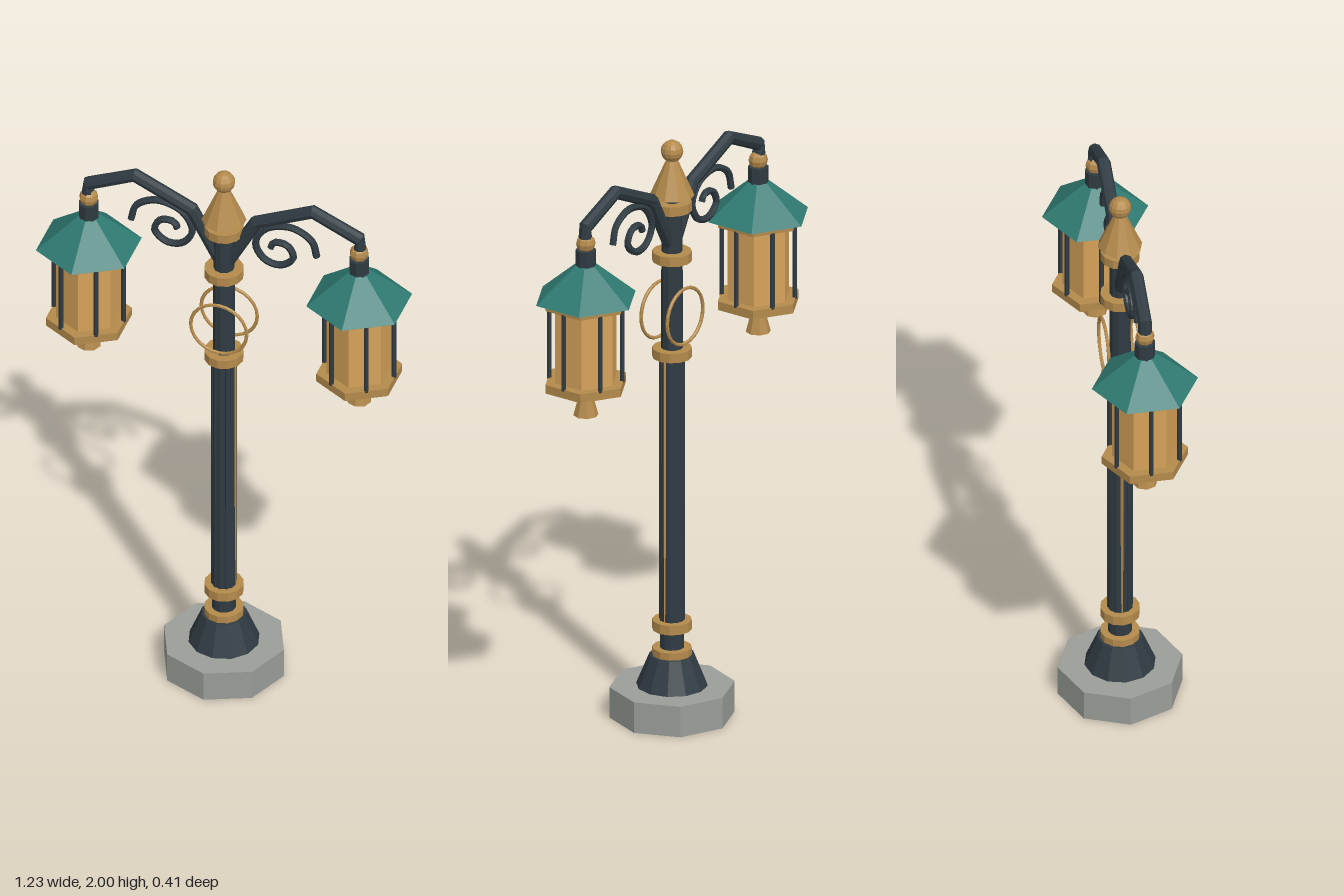
import * as THREE from 'three';

const material = (color) => new THREE.MeshStandardMaterial({ color, flatShading: true });
const iron = material(0x2f3b42);
const brass = material(0xb48a4c);
const glass = material(0xd6a25a);
const copper = material(0x2f7a72);
const stone = material(0x9a9d98);

function add(parent, name, geometry, mat, x = 0, y = 0, z = 0) {
  const mesh = new THREE.Mesh(geometry, mat);
  mesh.name = name;
  mesh.position.set(x, y, z);
  parent.add(mesh);
  return mesh;
}

// Upright prism or cone frustum between two heights
function column(parent, name, mat, y0, y1, rBottom, rTop, sides, x = 0, z = 0) {
  const geometry = new THREE.CylinderGeometry(rTop, rBottom, y1 - y0, sides);
  return add(parent, name, geometry, mat, x, (y0 + y1) / 2, z);
}

// Straight-segmented path, giving the arm its sharp bends
class Polyline extends THREE.Curve {
  constructor(points) {
    super();
    this.points = points;
  }
  getPoint(t, target = new THREE.Vector3()) {
    const n = this.points.length - 1;
    const i = Math.min(Math.floor(t * n), n - 1);
    return target.lerpVectors(this.points[i], this.points[i + 1], t * n - i);
  }
  getPointAt(t, target) { return this.getPoint(t, target); }
  getTangentAt(t, target) { return this.getTangent(t, target); }
}

const inPlane = (pairs, side) => pairs.map(([x, y]) => new THREE.Vector3(x * side, y, 0));

function makeLantern(x) {
  const lantern = new THREE.Group();
  lantern.name = 'lantern';
  lantern.position.x = x;
  add(lantern, 'lanternKnob', new THREE.SphereGeometry(0.032, 8, 6), brass, 0, 1.787, 0);
  column(lantern, 'lanternNeck', iron, 1.7, 1.765, 0.034, 0.034, 8);
  column(lantern, 'lanternRoof', copper, 1.595, 1.712, 0.175, 0.036, 6);
  column(lantern, 'topPlate', brass, 1.572, 1.595, 0.142, 0.142, 6);
  column(lantern, 'glassBody', glass, 1.31, 1.575, 0.108, 0.108, 6);
  column(lantern, 'bottomPlate', brass, 1.285, 1.315, 0.142, 0.142, 6);
  column(lantern, 'lanternDrop', brass, 1.19, 1.288, 0.041, 0.015, 8);
  // Bars stand in front of the middle of each pane
  for (let i = 0; i < 6; i++) {
    const a = (i * Math.PI) / 3;
    column(lantern, 'lanternBar', iron, 1.31, 1.575, 0.008, 0.008, 6,
      0.119 * Math.cos(a), 0.119 * Math.sin(a));
  }
  return lantern;
}

function makeArm(side) {
  const arm = new THREE.Group();
  arm.name = side > 0 ? 'leftArm' : 'rightArm';
  const path = new Polyline(inPlane(
    [[0, 1.62], [0.11, 1.825], [0.305, 1.915], [0.465, 1.843], [0.465, 1.8]], side));
  add(arm, 'armTube', new THREE.TubeGeometry(path, 4, 0.023, 8), iron);
  // Scroll curling inward beneath the arm
  const scroll = new THREE.CatmullRomCurve3(inPlane([
    [0.318, 1.735], [0.3, 1.795], [0.23, 1.832], [0.145, 1.808], [0.108, 1.74], [0.14, 1.682],
    [0.195, 1.672], [0.238, 1.712], [0.215, 1.757], [0.17, 1.757], [0.16, 1.735]], side));
  add(arm, 'scroll', new THREE.TubeGeometry(scroll, 40, 0.012, 6), iron);
  arm.add(makeLantern(side * 0.463));
  return arm;
}

export function createModel() {
  const model = new THREE.Group();
  model.name = 'streetLamp';

  // Foot
  column(model, 'base', stone, 0, 0.106, 0.205, 0.205, 8);
  column(model, 'pedestal', iron, 0.106, 0.212, 0.117, 0.074, 12);
  column(model, 'pedestalCore', iron, 0.21, 0.34, 0.04, 0.04, 12);

  // Post with vertical ribs
  column(model, 'shaft', iron, 0.33, 1.26, 0.041, 0.037, 12);
  for (let i = 0; i < 12; i++) {
    const a = (i * Math.PI) / 6;
    column(model, 'rib', i % 6 === 0 ? brass : iron, 0.33, 1.25, 0.005, 0.005, 4,
      0.038 * Math.cos(a), 0.038 * Math.sin(a));
  }
  column(model, 'upperShaft', iron, 1.25, 1.77, 0.036, 0.034, 10);

  // Collars
  for (const [y0, y1] of [[0.212, 0.237], [0.3, 0.333], [1.248, 1.28], [1.583, 1.616], [1.758, 1.79]]) {
    column(model, 'collar', brass, y0, y1, 0.065, 0.065, 12);
  }

  // Ring ornaments on both faces of the post
  for (const z of [-0.053, 0.053]) {
    add(model, 'ringOrnament', new THREE.TorusGeometry(0.096, 0.006, 6, 24), brass, 0, 1.4, z);
  }

  // Finial
  column(model, 'finialNeck', iron, 1.785, 1.815, 0.03, 0.03, 10);
  column(model, 'finialCone', brass, 1.81, 1.935, 0.073, 0.018, 10);
  add(model, 'finialBall', new THREE.SphereGeometry(0.037, 12, 8), brass, 0, 1.963, 0);

  model.add(makeArm(1), makeArm(-1));
  return model;
}
